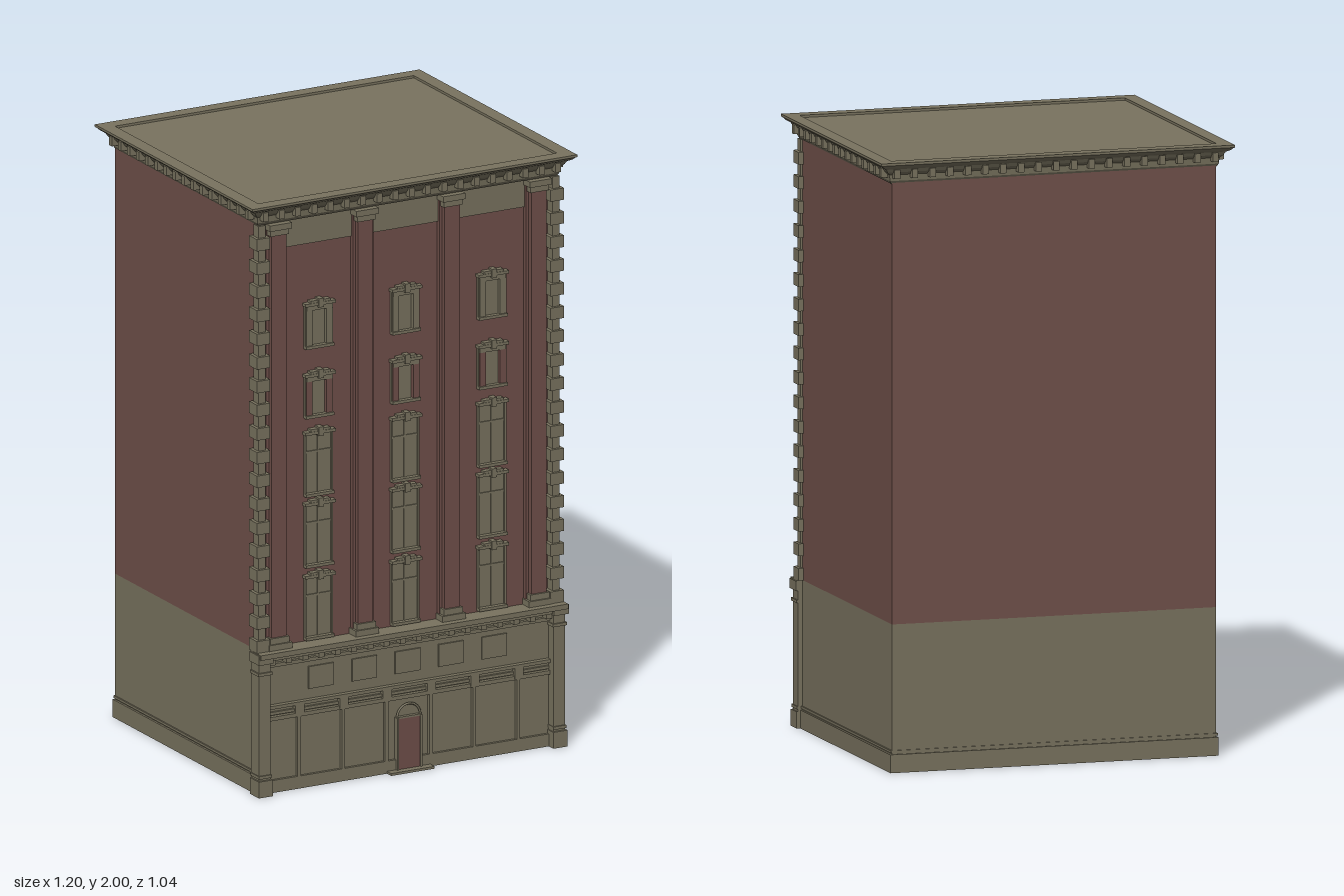
import * as THREE from 'three';

export function createModel() {
  const building = new THREE.Group();
  building.name = 'building';
  const stone = new THREE.MeshStandardMaterial({ color: 0x79735f });
  stone.name = 'stone';
  const brick = new THREE.MeshStandardMaterial({ color: 0x70504a });
  brick.name = 'brick';

  const group = (name, parent = building) => {
    const g = new THREE.Group();
    g.name = name;
    parent.add(g);
    return g;
  };
  // Box given by its extents on each axis
  const block = (name, mat, x0, x1, y0, y1, z0, z1, parent = building) => {
    const m = new THREE.Mesh(new THREE.BoxGeometry(x1 - x0, y1 - y0, z1 - z0), mat);
    m.position.set((x0 + x1) / 2, (y0 + y1) / 2, (z0 + z1) / 2);
    m.name = name;
    parent.add(m);
    return m;
  };
  // Rectangular loops, each [outset, y], joined with mitred corners and capped
  const rectLoft = (name, mat, hx, hz, profile) => {
    const pos = [];
    const loops = profile.map(([o, y]) => [
      [-hx - o, y, hz + o], [hx + o, y, hz + o], [hx + o, y, -hz - o], [-hx - o, y, -hz - o]]);
    const quad = (a, b, c, d) => pos.push(...a, ...b, ...c, ...a, ...c, ...d);
    for (let i = 0; i < loops.length - 1; i++) {
      for (let k = 0; k < 4; k++) {
        const n = (k + 1) % 4;
        quad(loops[i][k], loops[i][n], loops[i + 1][n], loops[i + 1][k]);
      }
    }
    quad(...loops[loops.length - 1]);
    quad(...[...loops[0]].reverse());
    const g = new THREE.BufferGeometry();
    g.setAttribute('position', new THREE.Float32BufferAttribute(pos, 3));
    g.computeVertexNormals();
    const m = new THREE.Mesh(g, mat);
    m.name = name;
    building.add(m);
  };

  // Main body
  block('lowerBody', stone, -0.55, 0.55, 0, 0.485, -0.475, 0.45);
  block('upperBody', brick, -0.55, 0.55, 0.485, 1.93, -0.475, 0.45);
  block('frieze', stone, -0.52, 0.52, 1.83, 1.93, 0.45, 0.455);
  block('plinth', stone, -0.557, 0.557, 0, 0.06, -0.481, 0.45);
  block('plinthMoulding', stone, -0.555, 0.555, 0.065, 0.073, -0.479, 0.45);

  // Roof cornice with a sunken roof
  rectLoft('roofCornice', stone, 0.552, 0.473, [
    [0, 1.925], [0.006, 1.935], [0.008, 1.955], [0.018, 1.965], [0.024, 1.976],
    [0.036, 1.982], [0.044, 1.99], [0.048, 1.992], [0.048, 2], [0, 2], [0, 1.992]]);
  const modillions = group('modillions');
  for (let i = 0; i < 19; i++) {
    const x = -0.54 + i * 0.06;
    for (const s of [-1, 1]) {
      const z = s * 0.488;
      block('modillion', stone, x - 0.01, x + 0.01, 1.945, 1.975, z - 0.015, z + 0.015, modillions);
    }
  }
  for (let i = 0; i < 16; i++) {
    const z = -0.45 + i * 0.06;
    for (const s of [-1, 1]) {
      const x = s * 0.567;
      block('modillion', stone, x - 0.015, x + 0.015, 1.945, 1.975, z - 0.01, z + 0.01, modillions);
    }
  }

  // Corner quoins, alternating long and short
  const quoins = group('quoins');
  const rows = 36, step = 1.44 / rows;
  for (const s of [-1, 1]) {
    for (let i = 0; i < rows; i++) {
      const long = i % 2 === 0, y = 0.485 + i * step;
      const a = s * (long ? 0.518 : 0.53), b = s * (long ? 0.567 : 0.556);
      block('quoin', stone, Math.min(a, b), Math.max(a, b), y, y + step,
        long ? 0.44 : 0.45, long ? 0.492 : 0.482, quoins);
    }
  }

  // Giant pilasters
  for (const x of [-0.48, -0.16, 0.16, 0.48]) {
    const p = group('pilaster');
    block('pilasterBack', brick, x - 0.038, x + 0.038, 0.485, 1.92, 0.45, 0.465, p);
    block('pilasterShaft', brick, x - 0.028, x + 0.028, 0.485, 1.92, 0.465, 0.482, p);
    block('pilasterBase', stone, x - 0.043, x + 0.043, 0.485, 0.505, 0.45, 0.495, p);
    block('pilasterFoot', stone, x - 0.035, x + 0.035, 0.505, 0.525, 0.45, 0.489, p);
    block('capitalNeck', stone, x - 0.034, x + 0.034, 1.885, 1.91, 0.45, 0.488, p);
    block('capitalTop', stone, x - 0.041, x + 0.041, 1.905, 1.925, 0.45, 0.496, p);
  }

  // Windows: three bays, five storeys
  const storeys = [[0.5, 0.7, 0], [0.745, 0.945, 0], [0.985, 1.185, 0], [1.25, 1.38, 1], [1.485, 1.62, 2]];
  for (const x of [-0.32, 0, 0.32]) {
    for (const [y0, y1, kind] of storeys) {
      const w = group('window');
      if (kind === 0) {
        block('pane', stone, x - 0.048, x + 0.048, y0, y1, 0.45, 0.453, w);
        block('mullion', stone, x - 0.003, x + 0.003, y0, y1, 0.453, 0.456, w);
        block('transom', stone, x - 0.048, x + 0.048, y1 - 0.065, y1 - 0.058, 0.453, 0.457, w);
      } else {
        const side = kind === 1 ? brick : stone;
        block('pane', stone, x - 0.024, x + 0.024, y0, y1 - 0.015, 0.45, 0.454, w);
        for (const s of [-1, 1]) {
          block('jamb', side, x + s * 0.037 - 0.011, x + s * 0.037 + 0.011, y0, y1, 0.45, 0.464, w);
        }
        block('head', stone, x - 0.048, x + 0.048, y1 - 0.016, y1, 0.45, 0.466, w);
      }
      for (const s of [-1, 1]) {
        block('reveal', stone, x + s * 0.049 - 0.003, x + s * 0.049 + 0.003, y0, y1, 0.45, 0.46, w);
      }
      block('sill', stone, x - 0.052, x + 0.052, y0 - 0.01, y0, 0.45, 0.47, w);
      block('lintel', stone, x - 0.056, x + 0.056, y1, y1 + 0.01, 0.45, 0.472, w);
      block('lintelCrown', stone, x - 0.036, x + 0.036, y1 + 0.01, y1 + 0.018, 0.45, 0.47, w);
      block('keystone', stone, x - 0.009, x + 0.009, y1 - 0.006, y1 + 0.024, 0.45, 0.476, w);
    }
  }

  // Ground floor front
  block('shopFront', stone, -0.53, 0.53, 0, 0.48, 0.45, 0.47);
  block('shopPlinth', stone, -0.52, 0.52, 0, 0.042, 0.47, 0.48);
  for (const [y0, y1, z] of [[0.245, 0.258, 0.485], [0.262, 0.272, 0.478], [0.285, 0.296, 0.488]]) {
    block('shopBand', stone, -0.52, 0.52, y0, y1, 0.47, z);
  }
  for (const s of [-1, 1]) {
    const pier = group('cornerPier');
    const part = (name, inner, outer, y0, y1, z) => block(name, stone,
      Math.min(s * inner, s * outer), Math.max(s * inner, s * outer), y0, y1, 0.45, z, pier);
    part('pierShaft', 0.522, 0.565, 0, 0.46, 0.502);
    part('pierFoot', 0.518, 0.57, 0, 0.055, 0.51);
    part('pierFootMoulding', 0.52, 0.568, 0.062, 0.072, 0.507);
    part('pierNeck', 0.518, 0.57, 0.41, 0.42, 0.508);
    part('pierCap', 0.518, 0.572, 0.45, 0.482, 0.515);
    for (const x of [0.082, 0.242, 0.405]) {
      block('shopMullion', stone, s * x - 0.006, s * x + 0.006, 0.042, 0.245, 0.47, 0.482);
      block('bandBracket', stone, s * x - 0.016, s * x + 0.016, 0.25, 0.29, 0.47, 0.487);
    }
  }

  // Low panels above the shop band
  for (const x of [-0.32, -0.16, 0, 0.16, 0.32]) {
    block('panel', stone, x - 0.046, x + 0.046, 0.33, 0.405, 0.47, 0.476);
  }

  // Belt cornice with dentils
  block('beltLower', stone, -0.55, 0.55, 0.425, 0.437, 0.45, 0.482);
  block('beltMiddle', stone, -0.55, 0.55, 0.455, 0.468, 0.45, 0.505);
  block('beltTop', stone, -0.568, 0.568, 0.468, 0.485, 0.45, 0.52);
  const dentils = group('dentils');
  for (let i = 0; i < 18; i++) {
    const x = -0.51 + i * 0.06;
    block('dentil', stone, x - 0.01, x + 0.01, 0.437, 0.456, 0.46, 0.497, dentils);
  }

  // Arched entrance
  const entrance = group('entrance');
  block('door', brick, -0.04, 0.04, 0.008, 0.183, 0.476, 0.483, entrance);
  for (const s of [-1, 1]) {
    block('doorPost', stone, s * 0.043 - 0.003, s * 0.043 + 0.003, 0, 0.183, 0.47, 0.488, entrance);
  }
  block('doorHead', stone, -0.04, 0.04, 0.18, 0.186, 0.47, 0.487, entrance);
  const fanlight = new THREE.Mesh(new THREE.CircleGeometry(0.04, 20, 0, Math.PI), stone);
  fanlight.position.set(0, 0.183, 0.474);
  fanlight.name = 'fanlight';
  const arch = new THREE.Mesh(new THREE.TorusGeometry(0.043, 0.004, 6, 20, Math.PI), stone);
  arch.position.set(0, 0.183, 0.48);
  arch.name = 'doorArch';
  entrance.add(fanlight, arch);
  block('doorStep', stone, -0.08, 0.08, 0, 0.008, 0.47, 0.508, entrance);

  return building;
}
